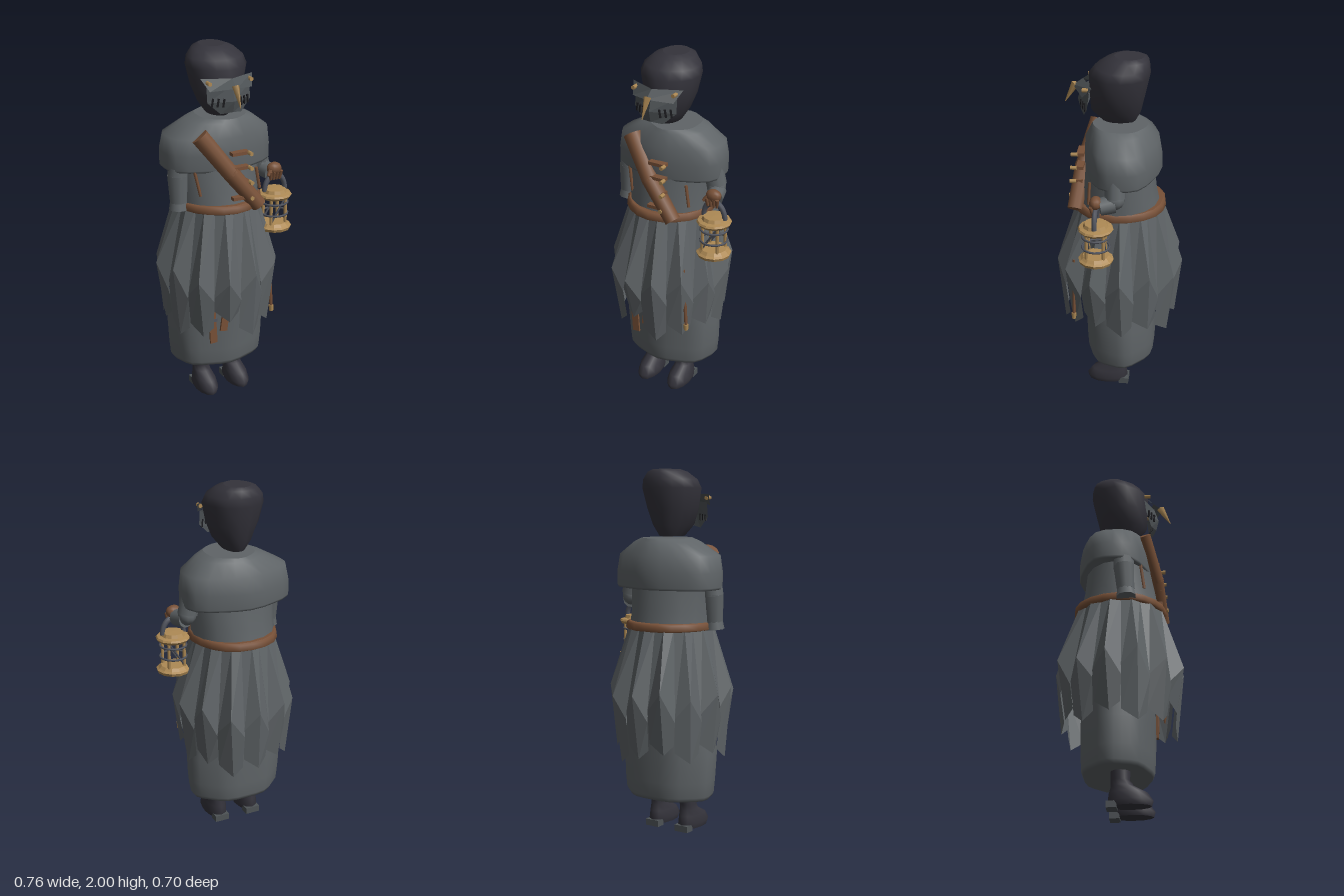
import * as THREE from 'three';

const mat = (name, color) => {
  const m = new THREE.MeshStandardMaterial({ color, side: THREE.DoubleSide });
  m.name = name;
  return m;
};
const V = (p) => new THREE.Vector3(...p);

// Stacked elliptical rings, bottom to top: [y, centreX, centreZ, radiusX, radiusZ]
function loft(rows, n, wobble = 0, waves = 5) {
  const pos = [], idx = [];
  const ring = ([y, cx, cz, rx, rz]) => {
    for (let j = 0; j < n; j++) {
      const a = (j / n) * Math.PI * 2, k = 1 + wobble * Math.cos(a * waves);
      pos.push(cx + rx * k * Math.sin(a), y, cz + rz * k * Math.cos(a));
    }
  };
  rows.forEach(ring);
  for (let i = 0; i < rows.length - 1; i++) {
    for (let j = 0; j < n; j++) {
      const a = i * n + j, b = i * n + (j + 1) % n;
      idx.push(a, b, a + n, b, b + n, a + n);
    }
  }
  // separate cap rings keep the rims crisp
  [rows[0], rows[rows.length - 1]].forEach((row, top) => {
    const s = pos.length / 3;
    ring(row);
    for (let j = 1; j < n - 1; j++) idx.push(s, s + (top ? j : j + 1), s + (top ? j + 1 : j));
  });
  const g = new THREE.BufferGeometry();
  g.setAttribute('position', new THREE.Float32BufferAttribute(pos, 3));
  g.setIndex(idx);
  g.computeVertexNormals();
  return g;
}

// Faceted open sheet from rows of points, listed top to bottom
function sheet(rows) {
  const pos = [];
  for (let i = 0; i < rows.length - 1; i++) {
    for (let j = 0; j < rows[i].length - 1; j++) {
      const a = rows[i][j], b = rows[i][j + 1], c = rows[i + 1][j], d = rows[i + 1][j + 1];
      pos.push(...a, ...c, ...b, ...b, ...c, ...d);
    }
  }
  const g = new THREE.BufferGeometry();
  g.setAttribute('position', new THREE.Float32BufferAttribute(pos, 3));
  g.computeVertexNormals();
  return g;
}

export function createModel() {
  const model = new THREE.Group();
  const dark = mat('darkCloth', 0x34333b), cloth = mat('greyCloth', 0x5f6467);
  const plate = mat('maskPlate', 0x4d5255), leather = mat('leather', 0x775037);
  const brass = mat('brass', 0xae8a55), iron = mat('iron', 0x50535d);
  const black = mat('slitBlack', 0x1c1c20);

  const add = (name, geo, material, parent = model) => {
    const m = new THREE.Mesh(geo, material);
    m.name = name;
    parent.add(m);
    return m;
  };
  const group = (name, x = 0, y = 0, z = 0) => {
    const g = new THREE.Group();
    g.name = name;
    g.position.set(x, y, z);
    model.add(g);
    return g;
  };
  // tapered round bar from a to b
  const rod = (name, a, b, ra, rb, material, parent = model, sides = 10) => {
    const p = V(a), q = V(b), d = q.clone().sub(p);
    const m = add(name, new THREE.CylinderGeometry(rb, ra, d.length(), sides), material, parent);
    m.position.copy(p).add(q).multiplyScalar(0.5);
    m.quaternion.setFromUnitVectors(new THREE.Vector3(0, 1, 0), d.normalize());
    return m;
  };
  const ball = (name, p, r, s, material, parent = model) => {
    const m = add(name, new THREE.SphereGeometry(r, 10, 7), material, parent);
    m.position.set(...p);
    m.scale.set(...s);
    return m;
  };

  // Hood
  add('hood', loft([
    [1.64, -0.042, 0.005, 0.055, 0.09], [1.7, -0.042, 0.018, 0.1, 0.135],
    [1.79, -0.042, 0.01, 0.14, 0.148], [1.9, -0.042, 0, 0.164, 0.163],
    [1.945, -0.042, -0.015, 0.152, 0.145], [1.985, -0.042, -0.04, 0.11, 0.112],
    [2.0, -0.042, -0.05, 0.07, 0.08]], 15, 0.015), dark);

  // Mask with slits, brow visor, beak and bolts
  const mask = group('mask', -0.045, 0, 0);
  add('maskFace', sheet([
    [[-0.125, 1.82, 0.15], [0, 1.83, 0.2], [0.125, 1.82, 0.15]],
    [[-0.125, 1.74, 0.16], [0, 1.75, 0.225], [0.125, 1.74, 0.16]],
    [[-0.06, 1.68, 0.185], [0, 1.69, 0.21], [0.06, 1.68, 0.185]]]), plate, mask);
  add('visor', sheet([
    [[-0.15, 1.865, 0.13], [0, 1.865, 0.195], [0.15, 1.865, 0.13]],
    [[-0.122, 1.805, 0.185], [0, 1.825, 0.25], [0.122, 1.805, 0.185]]]), plate, mask);
  for (const s of [-1, 1]) {
    for (let i = 0; i < 3; i++) {
      const x = 0.05 + i * 0.026;
      const slit = add('breathSlit', new THREE.BoxGeometry(0.011, 0.045, 0.008), black, mask);
      slit.position.set(s * x, 1.742, 0.226 - x * 0.52);
      slit.rotation.set(0, s * 0.48, s * 0.15);
    }
    rod('visorBolt', [s * 0.12, 1.845, 0.15], [s * 0.12, 1.845, 0.185], 0.012, 0.012, brass, mask, 6);
  }
  rod('beak', [0, 1.835, 0.236], [0, 1.73, 0.292], 0.022, 0.002, brass, mask, 4);

  // Shoulder mantle and torso
  add('mantle', loft([
    [1.37, -0.04, -0.02, 0.24, 0.16], [1.358, -0.04, -0.02, 0.308, 0.2],
    [1.37, -0.04, -0.02, 0.314, 0.205], [1.45, -0.04, -0.02, 0.315, 0.206],
    [1.54, -0.038, -0.015, 0.3, 0.196], [1.61, -0.02, -0.008, 0.188, 0.158],
    [1.63, -0.015, -0.005, 0.135, 0.145]], 24, 0.025, 6), cloth);
  add('torso', loft([
    [1.14, -0.04, 0, 0.235, 0.226], [1.25, -0.04, 0, 0.232, 0.203],
    [1.4, -0.04, 0, 0.24, 0.185]], 16), cloth);
  add('belt', loft([
    [1.135, -0.04, 0, 0.235, 0.245], [1.142, -0.04, 0, 0.246, 0.258],
    [1.172, -0.04, 0, 0.243, 0.254], [1.18, -0.04, 0, 0.232, 0.24]], 20, 0.01), leather);

  // Ragged pleated overskirt
  const skirt = group('overskirt', -0.042, 0, 0);
  const tips = [0.53, 0.42, 0.46, 0.49, 0.44, 0.47, 0.41, 0.45, 0.48, 0.43, 0.47, 0.42, 0.44];
  const at = (a, r, y) => [r * 0.95 * Math.sin(a), y, r * Math.cos(a)];
  tips.forEach((tip, i) => {
    const step = Math.PI * 2 / tips.length, a = i * step - 0.27, h = step / 2;
    const lift = (i % 3) * 0.02, out = 0.352 - (i % 2) * 0.01;
    add('skirtPleat', sheet([
      [at(a - h, 0.225, 1.16), at(a, 0.24, 1.16), at(a + h, 0.225, 1.16)],
      [at(a - h * 1.03, 0.32, 0.68 + lift), at(a, out + 0.012, 0.78 + lift), at(a + h, 0.325, 0.66)],
      [at(a - h, 0.298, tip + 0.06), at(a + 0.04, 0.315, tip), at(a + h * 0.92, 0.3, tip + 0.05)]]),
    cloth, skirt);
  });

  // Full underskirt with a rounded hem
  add('underskirt', loft([
    [0.2, -0.038, -0.012, 0.04, 0.03], [0.198, -0.038, -0.012, 0.252, 0.182],
    [0.22, -0.038, -0.012, 0.266, 0.192], [0.3, -0.038, -0.012, 0.274, 0.197],
    [0.45, -0.04, -0.01, 0.282, 0.2], [0.7, -0.04, 0, 0.26, 0.21],
    [1.14, -0.04, 0, 0.215, 0.21]], 28, 0.025, 7), cloth);

  // Boots
  for (const x of [-0.147, 0.052]) {
    add('boot', loft([
      [0.012, x, 0.062, 0.055, 0.11], [0.04, x, 0.062, 0.065, 0.118],
      [0.085, x, 0.05, 0.058, 0.1], [0.12, x, 0.02, 0.048, 0.06],
      [0.15, x, 0.01, 0.046, 0.05], [0.3, x, 0.01, 0.048, 0.055]], 12), dark);
    const heel = add('heel', new THREE.BoxGeometry(0.085, 0.036, 0.055), plate);
    heel.position.set(x, 0.018, -0.035);
  }

  // Arms and the gripping hand
  const leftArm = group('leftArm');
  rod('upperSleeve', [0.185, 1.52, 0], [0.232, 1.31, -0.005], 0.056, 0.056, cloth, leftArm);
  ball('elbow', [0.235, 1.3, 0], 0.056, [0.9, 1, 1], cloth, leftArm);
  rod('cuff', [0.24, 1.28, 0], [0.262, 1.268, 0.075], 0.05, 0.048, cloth, leftArm);
  const hand = group('hand', 0.27, 1.295, 0.095);
  ball('palm', [0, 0, 0], 0.045, [1, 0.8, 0.75], leather, hand);
  for (let i = 0; i < 4; i++) {
    const x = -0.03 + i * 0.02;
    rod('finger', [x * 1.1, -0.01, 0.022], [x * 0.9, -0.06, 0.012], 0.011, 0.008, leather, hand, 6);
  }
  rod('thumb', [-0.025, 0, 0.01], [-0.05, -0.03, 0.025], 0.014, 0.009, leather, hand, 6);
  const rightArm = group('rightArm');
  rod('upperSleeve', [-0.265, 1.5, 0.035], [-0.287, 1.32, 0.04], 0.055, 0.058, cloth, rightArm);
  rod('lowerSleeve', [-0.287, 1.33, 0.04], [-0.288, 1.18, 0.05], 0.058, 0.048, cloth, rightArm);
  rod('cuff', [-0.288, 1.2, 0.048], [-0.29, 1.14, 0.052], 0.044, 0.054, cloth, rightArm);

  // Cross-body roll, coat toggles and small straps
  const roll = group('crossBodyRoll');
  rod('upperRoll', [-0.205, 1.56, 0.135], [-0.05, 1.345, 0.205], 0.05, 0.046, leather, roll);
  rod('lowerRoll', [-0.06, 1.36, 0.202], [0.1, 1.16, 0.23], 0.046, 0.043, leather, roll);
  for (const y of [1.46, 1.38, 1.3, 1.215]) {
    const z = 0.205 + (1.46 - y) * 0.06;
    const loop = add('toggleLoop', new THREE.BoxGeometry(0.1, 0.018, 0.04), leather);
    loop.position.set(-0.005, y, z);
    rod('togglePeg', [0.043, y, z + 0.015], [0.043, y, z + 0.05], 0.012, 0.012, brass, model, 6);
  }
  rod('chestStrap', [-0.235, 1.385, 0.125], [-0.205, 1.23, 0.145], 0.009, 0.009, leather, model, 5);
  rod('chestStrap', [0.13, 1.34, 0.145], [0.15, 1.22, 0.15], 0.009, 0.009, leather, model, 5);
  [[-0.165, 0.37, 0.06], [-0.085, 0.43, -0.14]].forEach(([x, y, tilt]) => {
    const strap = add('hangingStrap', new THREE.BoxGeometry(0.042, 0.2, 0.012), leather);
    strap.position.set(x, y + 0.1, 0.205);
    strap.rotation.z = tilt;
    const buckle = add('strapBuckle', new THREE.BoxGeometry(0.05, 0.018, 0.018), iron);
    buckle.position.set(x, y + 0.14, 0.205);
  });
  rod('sideStrap', [0.165, 0.88, 0.232], [0.186, 0.53, 0.236], 0.01, 0.01, leather, model, 5);
  rod('sideStrapTip', [0.186, 0.54, 0.236], [0.187, 0.505, 0.236], 0.014, 0.012, brass, model, 6);

  // Lantern
  const lantern = group('lantern', 0.276, 0, 0.095);
  const faceted = (pts) => {
    const g = new THREE.LatheGeometry(pts.map((p) => new THREE.Vector2(...p)), 12).toNonIndexed();
    g.computeVertexNormals();
    return g;
  };
  add('lanternBase', faceted([[0, 0.945], [0.09, 0.945], [0.096, 0.962], [0.084, 0.97], [0.07, 0.985], [0, 0.985]]), brass, lantern);
  add('lanternCap', faceted([[0, 1.13], [0.085, 1.13], [0.096, 1.145], [0.09, 1.155], [0.068, 1.16], [0.06, 1.178], [0, 1.18]]), brass, lantern);
  for (const y of [1.035, 1.1]) {
    const hoop = add('cageHoop', new THREE.TorusGeometry(0.074, 0.006, 6, 16), iron, lantern);
    hoop.rotation.x = Math.PI / 2;
    hoop.position.y = y;
  }
  for (let i = 0; i < 4; i++) {
    const a = (i + 0.5) * Math.PI / 2, r = 0.064, x = r * Math.sin(a), z = r * Math.cos(a);
    rod('cagePost', [x, 0.98, z], [x, 1.135, z], 0.009, 0.009, brass, lantern, 6);
  }
  rod('cageBrace', [-0.045, 0.99, 0.045], [0.045, 1.13, 0.045], 0.006, 0.006, iron, lantern, 5);
  rod('cageBrace', [-0.045, 0.99, -0.045], [0.045, 1.13, -0.045], 0.006, 0.006, iron, lantern, 5);
  const handle = add('lanternHandle', new THREE.TorusGeometry(0.064, 0.014, 8, 16, Math.PI), iron, lantern);
  handle.position.y = 1.17;
  handle.scale.y = 1.35;

  return model;
}
